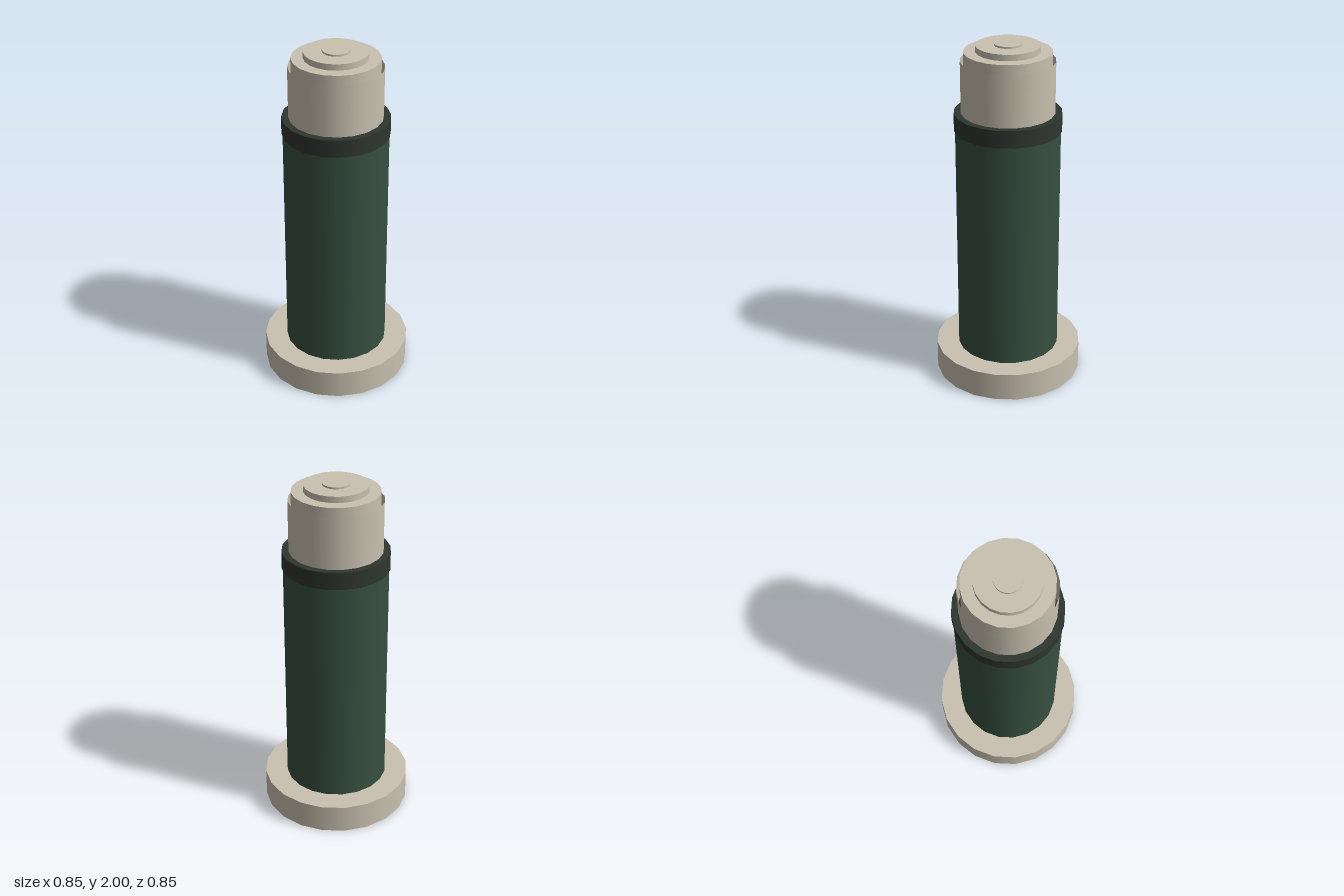
import * as THREE from 'three';

export function createModel() {
  const model = new THREE.Group();
  const material = (name, color) => {
    const m = new THREE.MeshStandardMaterial({ color });
    m.name = name;
    return m;
  };
  const stone = material('warm beige', 0xc9c1b0);
  const green = material('dark green', 0x375040);
  const charcoal = material('green black', 0x2e352e);

  // Upright 20-sided drum between two heights
  const drum = (name, radius, bottom, top, mat, open = false) => {
    const geometry = new THREE.CylinderGeometry(radius, radius, top - bottom, 20, 1, open);
    const mesh = new THREE.Mesh(geometry, mat);
    mesh.name = name;
    mesh.position.y = (bottom + top) / 2;
    model.add(mesh);
  };

  drum('base', 0.425, 0, 0.165, stone);
  drum('body', 0.295, 0.165, 1.52, green);
  drum('collar', 0.301, 1.51, 1.61, charcoal);

  // Neck is an open sleeve around the stepped cap
  const sleeve = stone.clone();
  sleeve.side = THREE.DoubleSide;
  drum('neckSleeve', 0.262, 1.61, 1.905, sleeve, true);
  drum('cap', 0.244, 1.61, 1.955, stone);
  drum('capStep', 0.178, 1.955, 1.99, stone);
  drum('capButton', 0.077, 1.99, 2, stone);

  return model;
}
